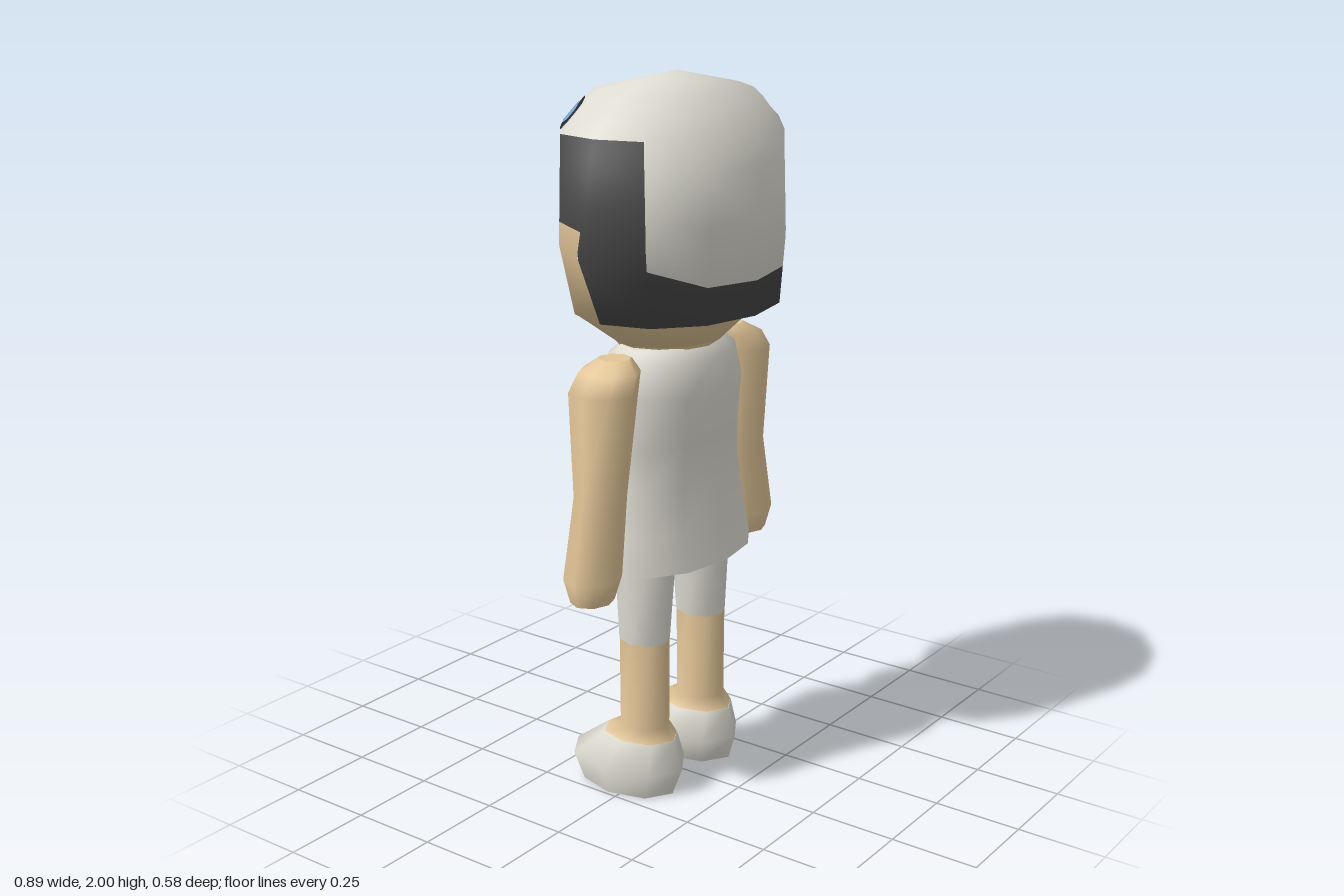
import * as THREE from 'three';

const mat = (name, color) => {
  const m = new THREE.MeshStandardMaterial({ color });
  m.name = name;
  return m;
};

// Stacks elliptical rings [y, centreX, centreZ, radiusX, radiusZ] from bottom to top, with flat end caps.
function loft(rings, sides) {
  const pos = [], index = [];
  const addRing = ([y, cx, cz, rx, rz]) => {
    for (let j = 0; j < sides; j++) {
      const a = (j / sides) * Math.PI * 2;
      pos.push(cx + rx * Math.cos(a), y, cz + rz * Math.sin(a));
    }
  };
  rings.forEach(addRing);
  for (let i = 0; i < rings.length - 1; i++) {
    for (let j = 0; j < sides; j++) {
      const a = i * sides + j, b = i * sides + (j + 1) % sides;
      index.push(a, a + sides, b, b, a + sides, b + sides);
    }
  }
  [rings[0], rings[rings.length - 1]].forEach((ring, top) => {
    const start = pos.length / 3;
    addRing(ring);
    for (let j = 1; j < sides - 1; j++) {
      if (top) index.push(start, start + j + 1, start + j);
      else index.push(start, start + j, start + j + 1);
    }
  });
  const g = new THREE.BufferGeometry();
  g.setAttribute('position', new THREE.Float32BufferAttribute(pos, 3));
  g.setIndex(index);
  g.computeVertexNormals();
  return g;
}

// Head cross-sections: height, half-widths at corners 0..3, depths at corners 0 (face) to 6 (back).
const HEAD = [
  { y: 1.29, x: [0, 0.08, 0.14, 0.17], z: [-0.14, -0.125, -0.07, 0, 0.08, 0.13, 0.15] },
  { y: 1.375, x: [0, 0.165, 0.265, 0.285], z: [-0.187, -0.165, -0.09, 0.02, 0.12, 0.19, 0.215] },
  { y: 1.38, x: [0, 0.17, 0.285, 0.32], z: [-0.19, -0.17, -0.09, 0.02, 0.155, 0.25, 0.285] },
  { y: 1.57, x: [0, 0.18, 0.31, 0.41], z: [-0.29, -0.225, -0.12, 0.02, 0.16, 0.26, 0.295] },
  { y: 1.855, x: [0, 0.17, 0.31, 0.345], z: [-0.245, -0.22, -0.11, 0.025, 0.155, 0.255, 0.29] },
  { y: 1.955, x: [0, 0.12, 0.2, 0.23], z: [-0.17, -0.15, -0.08, 0.03, 0.12, 0.2, 0.23] },
  { y: 2, x: [0, 0, 0, 0], z: [0.03, 0.03, 0.03, 0.03, 0.03, 0.03, 0.03] },
];

const corner = (ring, k) => {
  const a = Math.abs(k);
  return new THREE.Vector3(Math.sign(k) * ring.x[a > 3 ? 6 - a : a], ring.y, ring.z[a]);
};

const headNormal = (p) =>
  new THREE.Vector3(p.x / 0.16, (p.y - 1.63) / 0.137, (p.z - 0.02) / 0.085).normalize();

// Point on the head at corner number k (-6..6, 0 = middle of the face) and height y.
function headPoint(k, y, lift) {
  let i = 0;
  while (i < HEAD.length - 2 && y > HEAD[i + 1].y) i++;
  const t = (y - HEAD[i].y) / (HEAD[i + 1].y - HEAD[i].y);
  const k0 = Math.min(Math.floor(k), 5);
  const edge = (c) => corner(HEAD[i], c).lerp(corner(HEAD[i + 1], c), t);
  const p = edge(k0).lerp(edge(k0 + 1), k - k0);
  return p.addScaledVector(headNormal(p), lift);
}

// Strip of head surface through stations [k, lowY, highY], optionally raised as a thin plate.
function headPatch(stations, lift = 0, nu = 1, nv = 24) {
  const pos = [], nor = [], index = [];
  const n = (stations.length - 1) * nu;
  for (let c = 0; c <= n; c++) {
    const s = Math.min(Math.floor(c / nu), stations.length - 2), f = c / nu - s;
    const [k, lo, hi] = stations[s].map((v, q) => THREE.MathUtils.lerp(v, stations[s + 1][q], f));
    for (let r = 0; r <= nv; r++) {
      const p = headPoint(k, THREE.MathUtils.lerp(lo, hi, r / nv), lift);
      pos.push(p.x, p.y, p.z);
      nor.push(...headNormal(p).toArray());
      if (c < n && r < nv) {
        const a = c * (nv + 1) + r, b = a + nv + 1;
        index.push(a, a + 1, b, b, a + 1, b + 1);
      }
    }
  }
  const g = new THREE.BufferGeometry();
  g.setAttribute('position', new THREE.Float32BufferAttribute(pos, 3));
  g.setAttribute('normal', new THREE.Float32BufferAttribute(nor, 3));
  g.setIndex(index);
  return g;
}

export function createModel() {
  const white = mat('white', 0xdedcd2), skin = mat('skin', 0xe3c698), face = mat('face', 0xdba25f);
  const hair = mat('hair', 0x484848), ink = mat('ink', 0x2a2b36), blue = mat('lensBlue', 0x7aa8d0);

  const model = new THREE.Group();
  const add = (name, geometry, material, parent = model) => {
    const m = new THREE.Mesh(geometry, material);
    m.name = name;
    parent.add(m);
    return m;
  };

  // Head, in matching left and right halves
  const head = new THREE.Group();
  head.name = 'head';
  model.add(head);
  const both = (name, material, stations, lift, nu, nv) => {
    add(name + 'Left', headPatch(stations, lift, nu, nv), material, head);
    const mirrored = stations.map(([k, lo, hi]) => [-k, lo, hi]).reverse();
    add(name + 'Right', headPatch(mirrored, lift, nu, nv), material, head);
  };
  const band = (k0, k1, lo, hi) => {
    const out = [];
    for (let k = k0; k <= k1; k++) out.push([k, lo, hi]);
    return out;
  };
  both('capFront', white, [[0, 1.69, 2], [1, 1.77, 2], [2, 1.69, 2]]);
  both('capSide', white, band(2, 4, 1.855, 2));
  both('capBack', white, [[4, 1.53, 2], [5, 1.48, 2], [6, 1.475, 2]]);
  both('templeHair', hair, band(2, 3, 1.63, 1.855));
  both('sideHair', hair, band(3, 4, 1.38, 1.855));
  both('backHair', hair, [[4, 1.38, 1.53], [5, 1.38, 1.48], [6, 1.38, 1.475]]);
  both('hairUnderside', hair, band(3, 6, 1.375, 1.38), 0, 1, 1);
  both('face', face, [[0, 1.38, 1.69], [1, 1.38, 1.77], [2, 1.38, 1.69]]);
  both('chin', face, band(0, 2, 1.29, 1.38));
  both('cheek', skin, band(2, 3, 1.375, 1.63));
  both('jaw', skin, band(2, 6, 1.29, 1.375));

  // Painted face and goggles
  both('brow', ink, [[0.55, 1.645, 1.655], [0.7, 1.64, 1.662], [1.3, 1.64, 1.662], [1.45, 1.645, 1.655]], 0.004, 4, 2);
  both('eye', ink, [[0.55, 1.53, 1.54], [0.85, 1.545, 1.557], [1, 1.536, 1.55], [1.15, 1.545, 1.557], [1.45, 1.53, 1.54]], 0.004, 4, 2);
  both('mouth', ink, [[0, 1.382, 1.389], [0.8, 1.4, 1.406]], 0.004, 6, 2);
  both('goggleFrame', ink, [[0.35, 1.885, 1.897], [0.6, 1.86, 1.92], [1, 1.85, 1.93],
    [1.4, 1.85, 1.93], [1.75, 1.86, 1.92], [1.88, 1.88, 1.9]], 0.004, 4, 8);
  both('goggleLens', blue, [[0.58, 1.882, 1.895], [0.72, 1.873, 1.908], [1, 1.866, 1.914],
    [1.35, 1.866, 1.914], [1.65, 1.88, 1.902]], 0.007, 4, 8);
  both('goggleBridge', ink, [[0, 1.886, 1.89], [0.37, 1.886, 1.894]], 0.004, 4, 1);

  // Neck and dress
  add('neck', loft([[1.24, 0, 0.01, 0.13, 0.1], [1.293, 0, 0.005, 0.168, 0.143]], 12), skin);
  add('dress', loft([
    [0.68, 0, 0.015, 0.29, 0.185], [0.78, 0, 0.015, 0.27, 0.165], [0.92, 0, 0.015, 0.247, 0.148],
    [1.02, 0, 0.015, 0.245, 0.152], [1.16, 0, 0.015, 0.25, 0.165], [1.25, 0, 0.015, 0.225, 0.148],
    [1.285, 0, 0.015, 0.175, 0.115],
  ], 12), white);

  // Limbs, mirrored
  for (const [side, s] of [['left', 1], ['right', -1]]) {
    const limb = (name, rings, material) =>
      add(side + name, loft(rings.map(([y, x, ...rest]) => [y, s * x, ...rest]), 8), material);
    limb('Arm', [
      [0.635, 0.365, 0.02, 0.065, 0.055], [0.7, 0.363, 0.02, 0.083, 0.075], [0.92, 0.326, 0.02, 0.075, 0.068],
      [1.2, 0.312, 0.022, 0.088, 0.095], [1.25, 0.285, 0.022, 0.078, 0.085], [1.28, 0.26, 0.02, 0.045, 0.045],
    ], skin);
    limb('Stocking', [[0.45, 0.135, 0.02, 0.066, 0.075], [0.7, 0.13, 0.02, 0.083, 0.088]], white);
    limb('Shin', [
      [0.16, 0.135, 0.005, 0.085, 0.115], [0.195, 0.135, 0.02, 0.064, 0.073], [0.45, 0.135, 0.02, 0.065, 0.074],
    ], skin);
    limb('Shoe', [
      [0, 0.14, -0.033, 0.1, 0.153], [0.075, 0.132, -0.04, 0.124, 0.186], [0.16, 0.135, 0.005, 0.086, 0.116],
    ], white);
  }
  return model;
}
